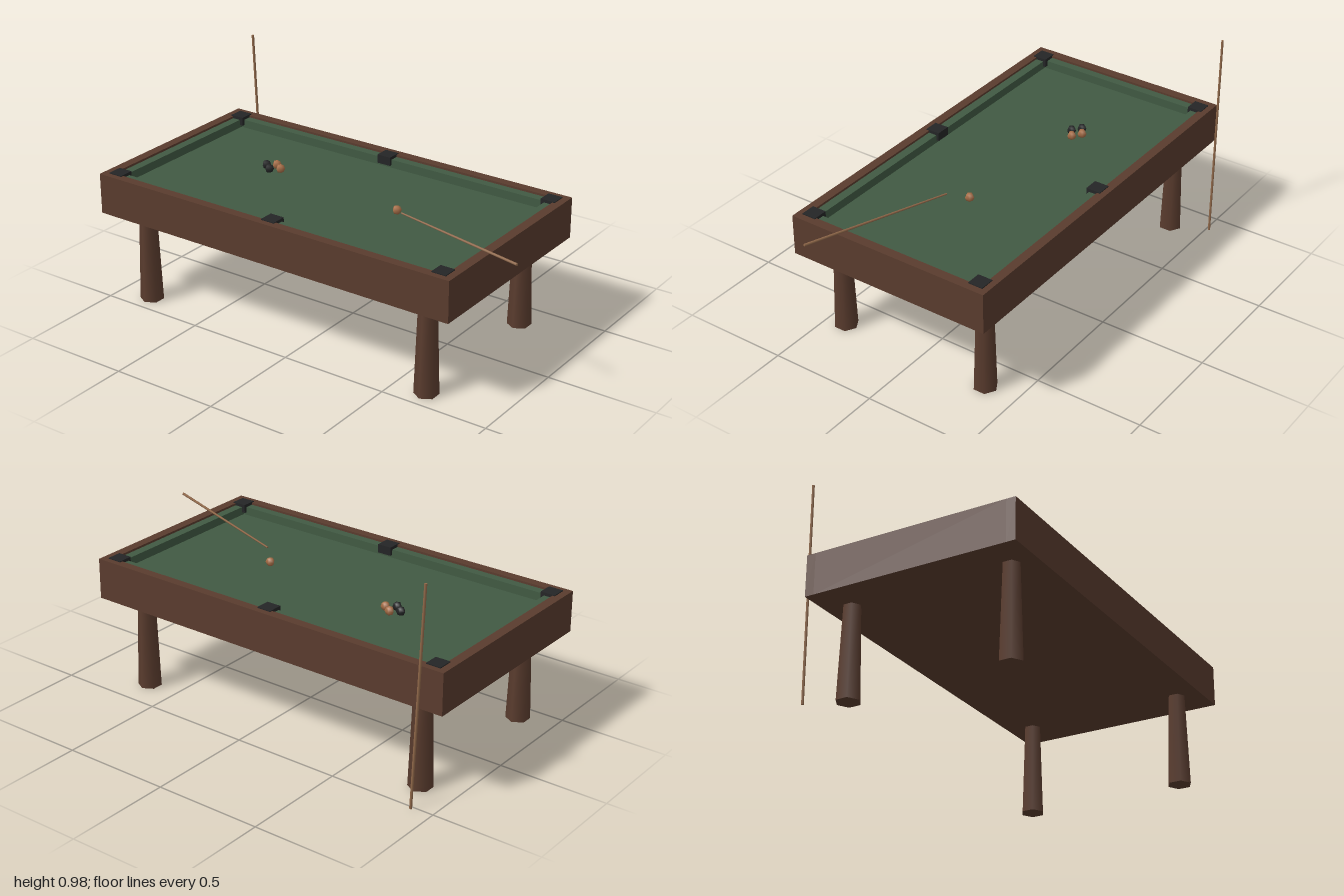
import * as THREE from 'three';

const wood = new THREE.MeshStandardMaterial({ name: 'dark wood', color: 0x5a3c2e });
const felt = new THREE.MeshStandardMaterial({ name: 'green felt', color: 0x415a43 });
const black = new THREE.MeshStandardMaterial({ name: 'black', color: 0x242526 });
const tan = new THREE.MeshStandardMaterial({ name: 'cue wood', color: 0x91694a });
const orange = new THREE.MeshStandardMaterial({ name: 'orange ball', color: 0xa86f48 });

// Table centre and half sizes
const CX = -0.0875, CZ = 0.031, HX = 0.9125, HZ = 0.489;
const BOTTOM = 0.423, TOP = 0.611, BED = 0.562;

function add(parent, name, geometry, material, x = 0, y = 0, z = 0) {
  const mesh = new THREE.Mesh(geometry, material);
  mesh.name = name;
  mesh.position.set(x, y, z);
  parent.add(mesh);
  return mesh;
}

// Box given by its centre in x and z and its lower and upper height
function block(parent, name, material, x, z, w, d, y0, y1) {
  return add(parent, name, new THREE.BoxGeometry(w, y1 - y0, d), material, x, (y0 + y1) / 2, z);
}

// Tapered stick between two points
function cue(parent, name, from, to, r0, r1) {
  const a = new THREE.Vector3(...from), b = new THREE.Vector3(...to);
  const dir = b.clone().sub(a);
  const mesh = add(parent, name, new THREE.CylinderGeometry(r1, r0, dir.length(), 6), tan);
  mesh.position.copy(a).add(b).multiplyScalar(0.5);
  mesh.quaternion.setFromUnitVectors(new THREE.Vector3(0, 1, 0), dir.normalize());
}

export function createModel() {
  const model = new THREE.Group();
  model.name = 'poolTable';
  const table = new THREE.Group();
  table.name = 'table';
  table.position.set(CX, 0, CZ);
  model.add(table);

  // Cabinet below the cloth, and the cloth itself
  const railX = 0.044, railZ = 0.042, inX = HX - railX, inZ = HZ - railZ;
  block(table, 'cabinet', wood, 0, 0, inX * 2, inZ * 2, BOTTOM, BED - 0.008);
  block(table, 'cloth', felt, 0, 0, inX * 2, inZ * 2, BED - 0.008, BED);

  // Wooden rails and felt cushions on all four sides
  const cush = 0.04, cushTop = 0.601;
  for (const s of [-1, 1]) {
    block(table, 'longRail', wood, 0, s * (HZ - railZ / 2), HX * 2, railZ, BOTTOM, TOP);
    block(table, 'shortRail', wood, s * (HX - railX / 2), 0, railX, inZ * 2, BOTTOM, TOP);
    block(table, 'longCushion', felt, 0, s * (inZ - cush / 2), inX * 2, cush, BED, cushTop);
    block(table, 'shortCushion', felt, s * (inX - cush / 2), 0, cush, (inZ - cush) * 2, BED, cushTop);
  }

  // Six square pockets
  for (const x of [-0.846, 0, 0.846])
    for (const z of [-0.4275, 0.4275])
      block(table, 'pocket', black, x, z, 0.068, 0.068, 0.575, 0.615);

  // Four tapered hexagonal legs
  for (const x of [-0.744, 0.744])
    for (const z of [-0.374, 0.374])
      add(table, 'leg', new THREE.CylinderGeometry(0.04, 0.054, BOTTOM, 6), wood, x, BOTTOM / 2, z);

  // Balls
  const balls = [
    [-0.507, -0.042, black], [-0.468, -0.012, black],
    [-0.468, -0.068, orange], [-0.427, -0.04, orange], [0.25, 0.03, orange],
  ];
  for (const [x, z, material] of balls)
    add(model, 'ball', new THREE.SphereGeometry(0.021, 5, 4), material, x, BED + 0.021, z);

  // One cue lying over the rail, one standing behind the table
  cue(model, 'lyingCue', [0.32, 0.611, 0.098], [1, 0.645, 0.302], 0.004, 0.006);
  cue(model, 'standingCue', [-0.902, 0, -0.514], [-0.933, 0.984, -0.498], 0.006, 0.006);

  return model;
}
